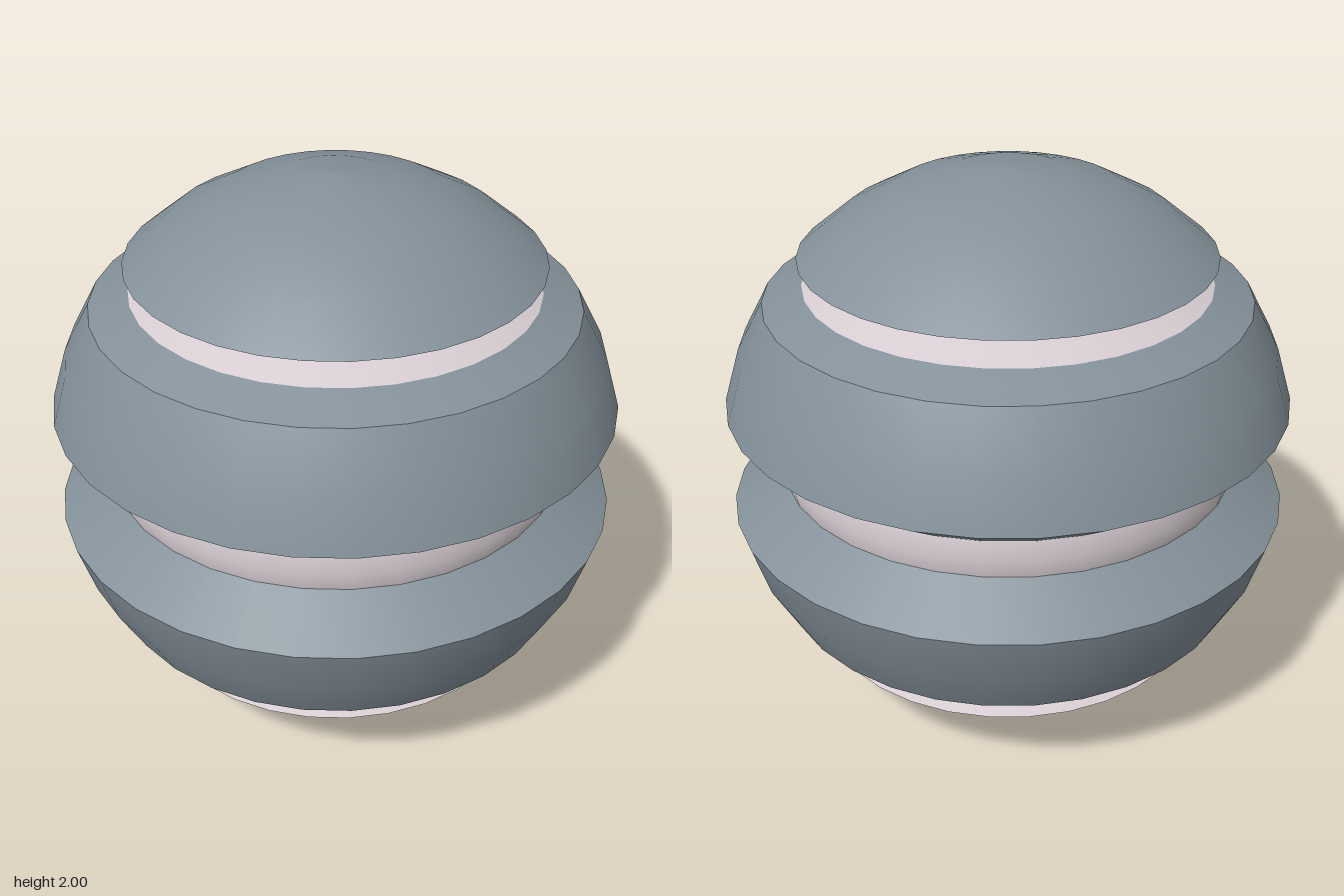
import * as THREE from 'three';

const shellGrey = new THREE.MeshStandardMaterial({ color: 0x84919a });
shellGrey.name = 'slate grey shell';
const corePink = new THREE.MeshStandardMaterial({ color: 0xd6ccd1 });
corePink.name = 'pale pink core';

// Point on the unit sphere at a ring index (16 rings from the top pole)
const ring = (i) => {
  const a = (i * Math.PI) / 16;
  return [Math.sin(a), 1 + Math.cos(a)];
};

// Bands of the upper half as [radius, y], listed from top to bottom.
// Each is a separate lathe, so edges between bands stay sharp.
const bands = [
  ['Cap', shellGrey, [0, 1, 2, 3, 4].map(ring)],
  ['CapUnderside', corePink, [ring(4), [0.565, 1.66]]],
  ['GrooveFloor', corePink, [[0.565, 1.66], [0.695, 1.61]]],
  ['Shoulder', shellGrey, [[0.695, 1.61], ring(5)]],
  ['Belt', shellGrey, [5, 6, 7].map(ring)],
  ['BeltLip', shellGrey, [ring(7), [0.8, 1.067]]],
];

function lathe(name, material, points) {
  const profile = points.map(([r, y]) => new THREE.Vector2(r, y));
  const mesh = new THREE.Mesh(new THREE.LatheGeometry(profile, 32), material);
  mesh.name = name;
  return mesh;
}

export function createModel() {
  const group = new THREE.Group();
  group.name = 'bandedSphere';
  for (const [name, material, points] of bands) {
    // Profiles run upward so that faces point outward
    group.add(lathe('upper' + name, material, [...points].reverse()));
    group.add(lathe('lower' + name, material, points.map(([r, y]) => [r, 2 - y])));
  }
  // Core showing through the equator gap
  group.add(lathe('equatorCore', corePink, [[0.8, 0.933], [0.816, 1], [0.8, 1.067]]));
  return group;
}
